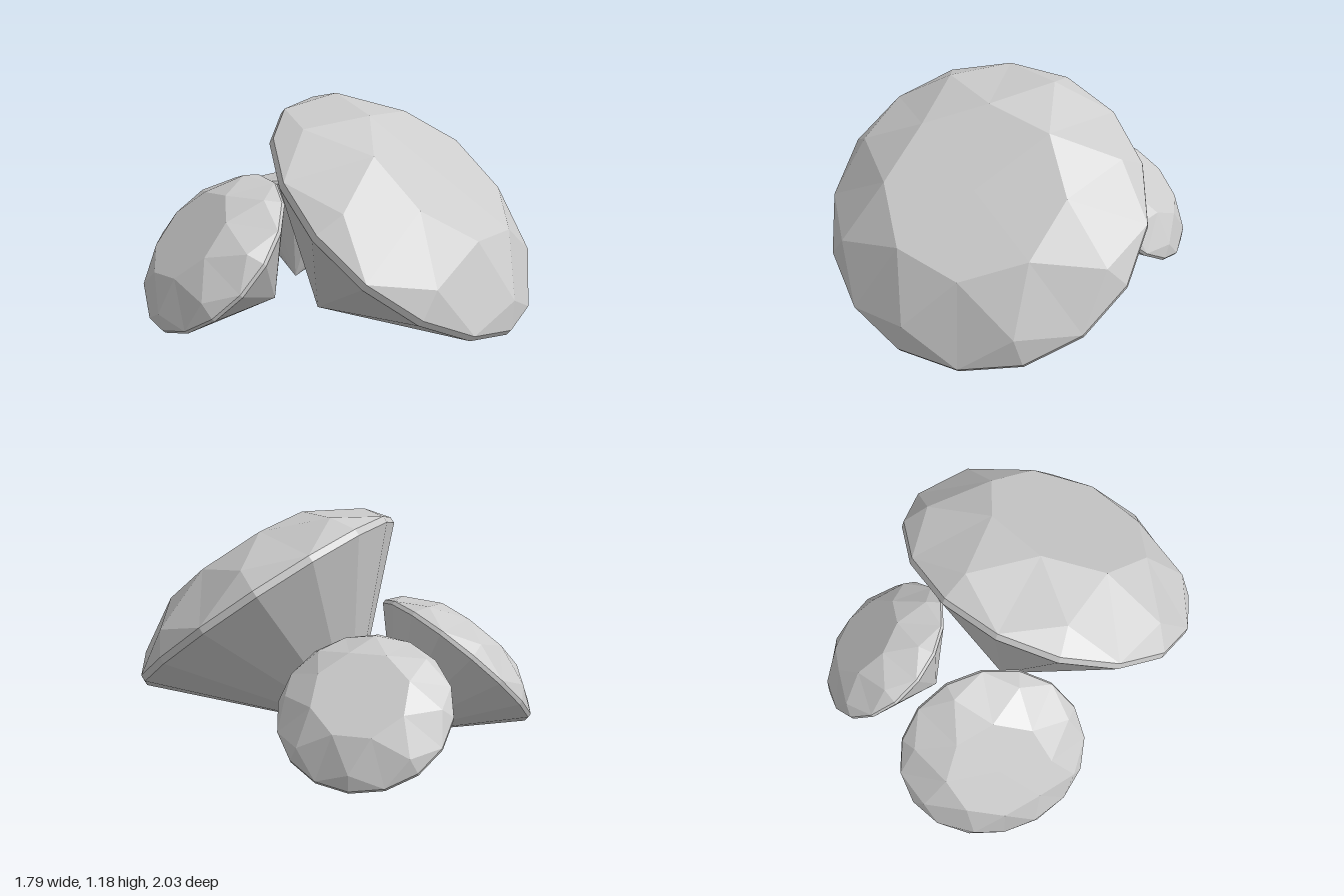
import * as THREE from 'three';

const material = new THREE.MeshStandardMaterial({ color: 0xcccccc, flatShading: true });
const SIDES = 8;

// Point on a ring around the gem's own y axis; step counts in eighths of a turn
function ringPoint(radius, height, step) {
  const a = (step / SIDES) * Math.PI * 2;
  return [radius * Math.sin(a), height, radius * Math.cos(a)];
}

// Brilliant-cut gem of about unit girdle radius, girdle near the origin
function gemGeometry() {
  const table = k => ringPoint(0.565, 0.418, k);
  const middle = k => ringPoint(0.895, 0.232, k + 0.5);
  const girdle = k => ringPoint(1.012, 0.08, k);
  const lower = k => ringPoint(1.012, 0.035, k);
  const top = [0, 0.418, 0];
  const tip = [0, -0.97, 0];
  const points = [];
  const tri = (a, b, c) => points.push(...a, ...b, ...c);

  for (let k = 0; k < SIDES; k++) {
    // flat table and star facets
    tri(top, table(k), table(k + 1));
    tri(table(k), middle(k), table(k + 1));
    // kite facets
    tri(table(k), girdle(k), middle(k));
    tri(table(k), middle(k - 1), girdle(k));
    // upper girdle facets
    tri(middle(k), girdle(k), girdle(k + 0.5));
    tri(middle(k), girdle(k + 0.5), girdle(k + 1));
    // thin girdle band and pointed underside
    for (const s of [k, k + 0.5]) {
      tri(girdle(s), lower(s), lower(s + 0.5));
      tri(girdle(s), lower(s + 0.5), girdle(s + 0.5));
      tri(lower(s), tip, lower(s + 0.5));
    }
  }
  const geometry = new THREE.BufferGeometry();
  geometry.setAttribute('position', new THREE.Float32BufferAttribute(points, 3));
  geometry.computeVertexNormals();
  return geometry;
}

// Stand a gem on its tip, leaning along the given axis and turned about it by spin degrees
function addGem(group, geometry, name, radius, tip, axis, spin) {
  const n = new THREE.Vector3(...axis).normalize();
  const side = new THREE.Vector3(n.z, 0, -n.x).normalize();
  const down = new THREE.Vector3().crossVectors(side, n);
  const gem = new THREE.Mesh(geometry, material);
  gem.name = name;
  gem.quaternion.setFromRotationMatrix(new THREE.Matrix4().makeBasis(side, n, down));
  gem.rotateY(THREE.MathUtils.degToRad(spin));
  gem.scale.setScalar(radius);
  gem.position.set(...tip).addScaledVector(n, 0.97 * radius);
  group.add(gem);
}

export function createModel() {
  const group = new THREE.Group();
  group.name = 'gems';
  const geometry = gemGeometry();
  addGem(group, geometry, 'largeGem', 0.8, [-0.08, 0, -0.12], [0.232, 0.8, 0.554], 5);
  addGem(group, geometry, 'rightSmallGem', 0.49, [-0.18, 0.01, -0.36], [-0.65, 0.722, -0.24], -5);
  addGem(group, geometry, 'leftSmallGem', 0.42, [0.09, 0.01, -0.47], [0.56, 0.75, -0.35], 22.5);
  return group;
}
